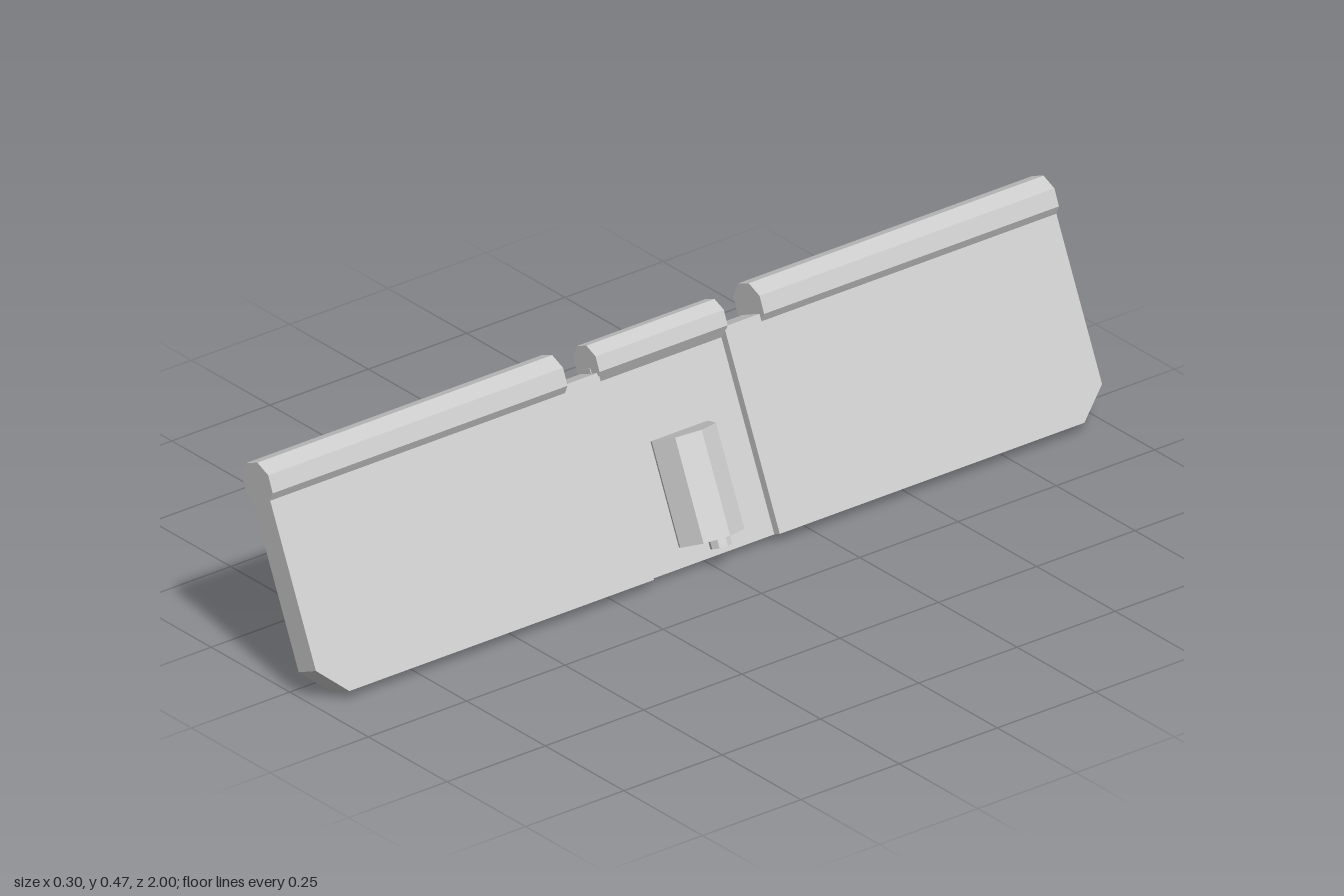
import * as THREE from 'three';

export function createModel() {
  const root = new THREE.Group();
  const mat = new THREE.MeshStandardMaterial({ color: 0xcccccc, flatShading: true });
  const add = (parent, name, geo, x = 0, y = 0, z = 0) => {
    const mesh = new THREE.Mesh(geo, mat);
    mesh.name = name;
    mesh.position.set(x, y, z);
    parent.add(mesh);
    return mesh;
  };

  // Leaning plate: local y runs up the plate, local x is its thickness
  const plate = new THREE.Group();
  plate.name = 'leaningPlate';
  plate.position.set(0.081, 0.0155, 0);
  plate.rotation.z = THREE.MathUtils.degToRad(24.3);
  root.add(plate);

  // Octagonal rail with its axis along z
  const rail = (name, radius, z0, z1) => add(root, name,
    new THREE.CylinderGeometry(radius, radius, z1 - z0, 8).rotateX(Math.PI / 2),
    -0.103, 0.425, (z0 + z1) / 2);

  // Two side panels with a clipped outer bottom corner, each with a top rail
  for (const [side, s] of [['left', 1], ['right', -1]]) {
    const outline = [[0.16, 0], [0.935, 0], [1, 0.061], [1, 0.43], [0.16, 0.43]];
    const shape = new THREE.Shape(outline.map(([z, y]) => new THREE.Vector2(s * z, y)));
    const geo = new THREE.ExtrudeGeometry(shape, { depth: 0.06, bevelEnabled: false });
    geo.rotateY(-Math.PI / 2);
    add(plate, side + 'Panel', geo, 0.03);
    rail(side + 'Rail', 0.049, s > 0 ? 0.25 : -1, s > 0 ? 1 : -0.25);
  }

  // Thin recessed centre panel and its slimmer rail
  add(plate, 'centrePanel', new THREE.BoxGeometry(0.022, 0.44, 0.33), 0, 0.22);
  rail('centreRail', 0.042, -0.163, 0.163);

  // Octagonal housing through the centre panel
  add(plate, 'housing', new THREE.CylinderGeometry(0.0735, 0.0735, 0.22, 8), 0.0215, 0.151);

  // Small hollow stub under the housing
  const profile = [[0, 0.015], [0.012, 0.015], [0.012, 0], [0.023, 0], [0.023, 0.022]];
  add(plate, 'stub', new THREE.LatheGeometry(profile.map(([r, y]) => new THREE.Vector2(r, y)), 8),
    0.055, 0.021);

  return root;
}
